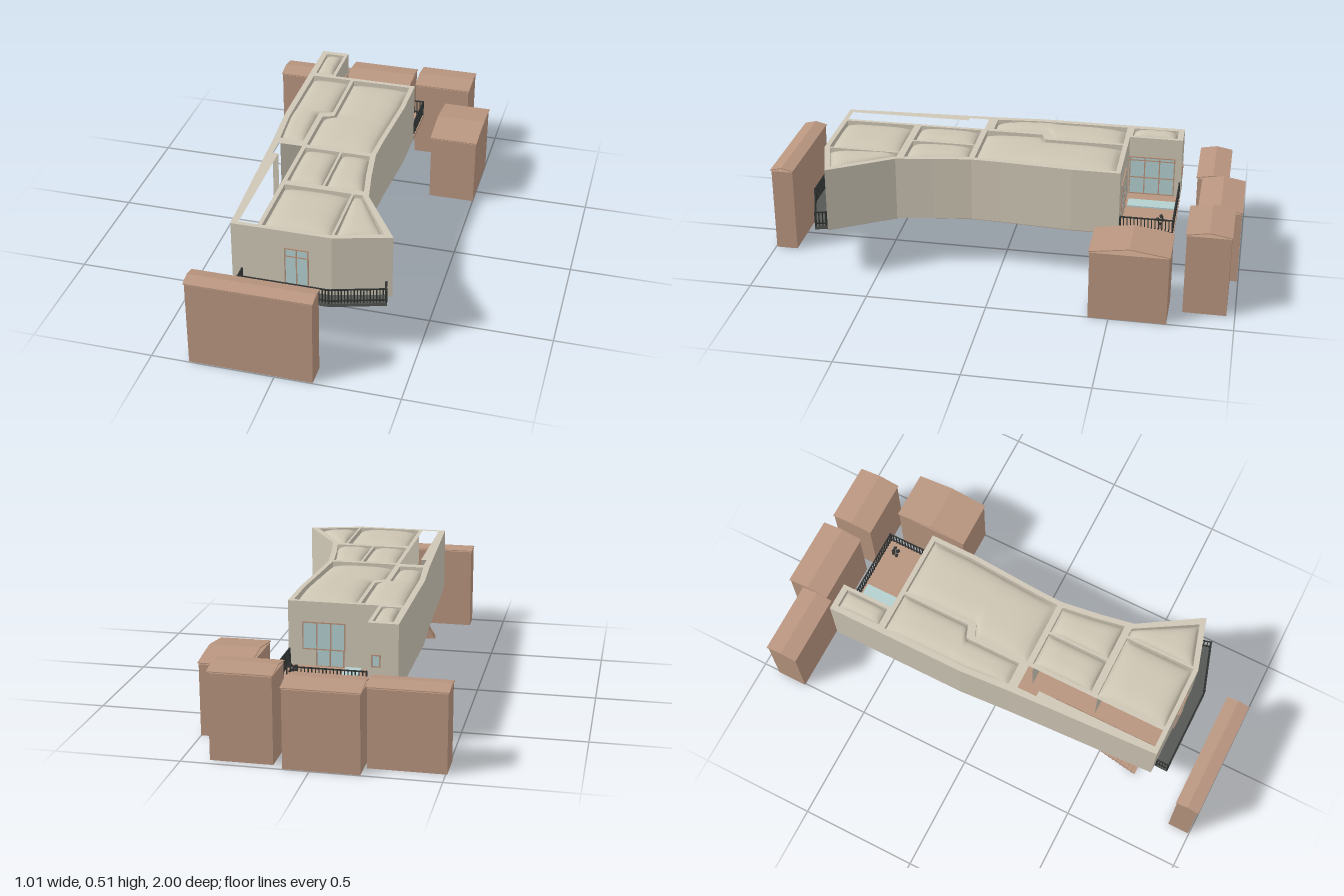
import * as THREE from 'three';
import { mergeGeometries } from 'three/addons/utils/BufferGeometryUtils.js';

const mat = (name, color, side = THREE.FrontSide) => {
  const m = new THREE.MeshStandardMaterial({ color, side });
  m.name = name;
  return m;
};

export function createModel() {
  const group = new THREE.Group();
  const wall = mat('plaster', 0xcec6b5);
  const dome = mat('roof plaster', 0xcdc5b3, THREE.DoubleSide);
  const clay = mat('clay', 0xb8957f);
  const tile = mat('clay tile', 0xb8957f, THREE.DoubleSide);
  const glass = mat('glass', 0xb4cfcf);
  const iron = mat('iron', 0x303432);
  const slabGrey = mat('balcony grey', 0x555854);

  const add = (name, geo, material) => {
    const m = new THREE.Mesh(geo, material);
    m.name = name;
    group.add(m);
    return m;
  };
  const box = (x0, x1, y0, y1, z0, z1) =>
    new THREE.BoxGeometry(x1 - x0, y1 - y0, z1 - z0)
      .translate((x0 + x1) / 2, (y0 + y1) / 2, (z0 + z1) / 2);
  const v2 = pts => pts.map(([x, z]) => new THREE.Vector2(x, -z));
  // Vertical prism from a plan outline with optional holes
  const prism = (pts, y0, y1, holes = []) => {
    const s = new THREE.Shape(v2(pts));
    holes.forEach(h => s.holes.push(new THREE.Path(v2(h))));
    return new THREE.ExtrudeGeometry(s, { depth: y1 - y0, bevelEnabled: false })
      .rotateX(-Math.PI / 2).translate(0, y0, 0);
  };

  // Rooms: left and right edges as [x, z] from back to front
  const rooms = [
    { l: [[-0.26, -0.7], [-0.258, -0.51]], r: [[-0.18, -0.7], [-0.18, -0.51]] },
    { l: [[-0.26, -0.48], [-0.26, -0.1], [-0.245, 0.085]],
      r: [[-0.09, -0.48], [-0.09, -0.18], [-0.145, -0.16], [-0.145, 0.085]] },
    { l: [[-0.075, -0.48], [-0.075, -0.15], [-0.122, -0.13], [-0.122, 0.11]],
      r: [[0.18, -0.48], [0.18, -0.3], [0.16, 0], [0.155, 0.11]] },
    { l: [[-0.12, 0.135], [-0.12, 0.4]], r: [[0.027, 0.135], [0.027, 0.4]] },
    { l: [[0.037, 0.135], [0.037, 0.4]], r: [[0.155, 0.135], [0.175, 0.28], [0.197, 0.4]] },
    { l: [[-0.12, 0.43], [-0.12, 0.73]], r: [[0.155, 0.43], [0.155, 0.73]] },
    { l: [[0.165, 0.43], [0.165, 0.725]], r: [[0.2, 0.43], [0.345, 0.672], [0.345, 0.672]] },
  ];
  const court = [[-0.24, 0.125], [-0.137, 0.125], [-0.137, 0.73], [-0.213, 0.73], [-0.215, 0.21], [-0.24, 0.21]];
  const outline = [
    [-0.285, -0.725], [-0.165, -0.725], [-0.165, -0.5], [0.2, -0.5], [0.2, -0.3], [0.18, 0], [0.176, 0.12],
    [0.198, 0.28], [0.225, 0.43], [0.385, 0.685], [0.16, 0.75], [-0.24, 0.75], [-0.27, 0.1], [-0.285, -0.12],
  ];
  add('walls', prism(outline, 0.23, 0.505,
    [...rooms.map(r => [...r.l, ...r.r.slice().reverse()]), court]), wall);

  // Swelling roof panel over each room
  const edgeX = (edge, z) => {
    for (let i = 1; i < edge.length; i++) {
      const [xa, za] = edge[i - 1], [xb, zb] = edge[i];
      if (z <= zb && zb > za) return xa + (xb - xa) * Math.max(0, (z - za) / (zb - za));
    }
    return edge[edge.length - 1][0];
  };
  rooms.forEach(({ l, r }) => {
    const geo = new THREE.PlaneGeometry(1, 1, 24, 40);
    const p = geo.attributes.position;
    const z0 = l[0][1], z1 = l[l.length - 1][1], z2 = r[r.length - 1][1];
    for (let i = 0; i < p.count; i++) {
      const u = p.getX(i) + 0.5, v = 0.5 - p.getY(i);
      // A slanted front edge blends from the left end to the right end
      const zr = z0 + (z2 - z0) * v, zl = z0 + (z1 - z0) * v;
      const z = zl + (zr - zl) * u;
      const xl = edgeX(l, zl), xr = edgeX(r, zr);
      const a = Math.abs(2 * u - 1), b = Math.abs(2 * v - 1);
      const h = Math.sqrt(Math.max(0, (1 - a ** 3) * (1 - b ** 4)));
      p.setXYZ(i, xl + (xr - xl) * u, 0.478 + 0.036 * h, z);
    }
    geo.computeVertexNormals();
    add('roofPanel', geo, dome);
  });

  // Floor plate, terrace and stair landing
  add('floor', prism([
    [-0.28, -0.72], [-0.165, -0.72], [-0.165, -0.5], [0.195, -0.5], [0.195, -0.3], [0.174, 0], [0.17, 0.12],
    [0.19, 0.28], [0.217, 0.43], [0.37, 0.68], [0.16, 0.74], [-0.13, 0.74], [-0.13, 0.255], [-0.255, 0.255], [-0.28, -0.12],
  ], 0.225, 0.236), clay);
  add('terrace', box(-0.165, 0.2, 0.225, 0.24, -0.725, -0.5), clay);
  add('terraceGlassStrip', box(-0.1, -0.035, 0.24, 0.246, -0.71, -0.51), glass);

  // Stair down through the court
  const steps = 22;
  const treads = [];
  for (let i = 0; i < steps; i++) {
    const t = i / (steps - 1), z = 0.285 + 0.385 * t, y = 0.228 - 0.221 * t;
    treads.push(box(-0.213, -0.139, y - 0.007, y + 0.005, z - 0.011, z + 0.011));
  }
  add('stair', mergeGeometries(treads), clay);

  // Front balcony
  add('balcony', prism([
    [-0.205, 0.75], [0.16, 0.75], [0.365, 0.69], [0.378, 0.742], [0.165, 0.808], [-0.205, 0.808],
  ], 0.226, 0.24), slabGrey);

  // Railing of posts and two rails along a plan path
  const railing = (name, pts, y0, y1, gap) => {
    const parts = [];
    for (let i = 1; i < pts.length; i++) {
      const [xa, za] = pts[i - 1], [xb, zb] = pts[i];
      const len = Math.hypot(xb - xa, zb - za), n = Math.max(1, Math.round(len / gap));
      for (const y of [y0 + 0.012, y1 - 0.003]) {
        parts.push(new THREE.BoxGeometry(len, 0.005, 0.005)
          .rotateY(-Math.atan2(zb - za, xb - xa)).translate((xa + xb) / 2, y, (za + zb) / 2));
      }
      for (let k = 0; k <= n; k++) {
        const t = k / n, w = k === 0 || k === n ? 0.007 : 0.004;
        parts.push(new THREE.BoxGeometry(w, y1 - y0, w)
          .translate(xa + (xb - xa) * t, (y0 + y1) / 2, za + (zb - za) * t));
      }
    }
    add(name, mergeGeometries(parts), iron);
  };
  railing('balconyRailing',
    [[-0.2, 0.755], [-0.2, 0.804], [0.163, 0.804], [0.374, 0.739], [0.363, 0.697]], 0.24, 0.306, 0.0125);
  railing('terraceRailing', [[-0.16, -0.72], [0.195, -0.72], [0.195, -0.505]], 0.24, 0.31, 0.014);

  // Window in local xy: glass panes and a clay frame, turned to face a direction
  const windowAt = (name, w, h, cols, rows, x, y, z, turn) => {
    const place = g => g.rotateY(turn).translate(x, y, z);
    add(name + 'Glass', place(new THREE.BoxGeometry(w, h, 0.004)), glass);
    const bars = [], b = 0.005;
    for (let i = 0; i <= cols; i++)
      bars.push(new THREE.BoxGeometry(b, h + b, 0.008).translate(-w / 2 + w * i / cols, 0, 0));
    for (const r of rows)
      bars.push(new THREE.BoxGeometry(w + b, b, 0.008).translate(0, -h / 2 + h * r, 0));
    add(name + 'Frame', place(mergeGeometries(bars)), clay);
  };
  windowAt('balconyDoor', 0.092, 0.188, 2, [0, 0.82, 1], 0.022, 0.335, 0.751, 0);
  windowAt('terraceWindow', 0.17, 0.11, 3, [0, 1], 0.055, 0.365, -0.501, Math.PI);
  windowAt('terraceDoor', 0.11, 0.07, 2, [0, 1], 0.03, 0.275, -0.501, Math.PI);
  windowAt('sideWindow', 0.19, 0.17, 3, [0, 0.45, 0.92, 1], -0.164, 0.33, -0.6, Math.PI / 2);
  windowAt('smallWindow', 0.032, 0.045, 1, [0, 1], -0.198, 0.355, -0.726, Math.PI);

  // Potted plant on the terrace
  add('plantPot', new THREE.CylinderGeometry(0.011, 0.008, 0.02, 10).translate(0.14, 0.25, -0.665), clay);
  const leaves = [];
  for (let i = 0; i < 6; i++) {
    const a = i * 2.4;
    leaves.push(new THREE.SphereGeometry(0.008, 6, 4).scale(1.2, 0.7, 1)
      .translate(0.14 + 0.012 * Math.cos(a), 0.268 + 0.006 * i, -0.665 + 0.012 * Math.sin(a)));
  }
  add('plantLeaves', mergeGeometries(leaves), iron);

  // Neighbouring houses: plain block with a thin open pitched roof, ridge along x
  const house = (x0, x1, z0, z1, top, ridge) => {
    const o = 0.004, t = 0.004, zm = (z0 + z1) / 2, eave = top + 0.004;
    add('houseBody', box(x0 + o, x1 - o, 0, top, z0 + o, z1 - o), clay);
    const s = new THREE.Shape([
      [z0, eave], [zm, ridge - t], [z1, eave], [z1, eave + t], [zm, ridge], [z0, eave + t],
    ].map(([z, y]) => new THREE.Vector2(-z, y)));
    add('houseRoof', new THREE.ExtrudeGeometry(s, { depth: x1 - x0, bevelEnabled: false })
      .rotateY(Math.PI / 2).translate(x0, 0, 0), tile);
  };
  house(-0.35, 0.157, 0.9, 1, 0.366, 0.386);
  house(-0.51, -0.2, -0.93, -0.79, 0.315, 0.336);
  house(-0.197, 0.108, -1, -0.815, 0.315, 0.34);
  house(0.142, 0.397, -0.97, -0.785, 0.348, 0.371);
  house(0.296, 0.505, -0.737, -0.413, 0.296, 0.327);

  return group;
}
